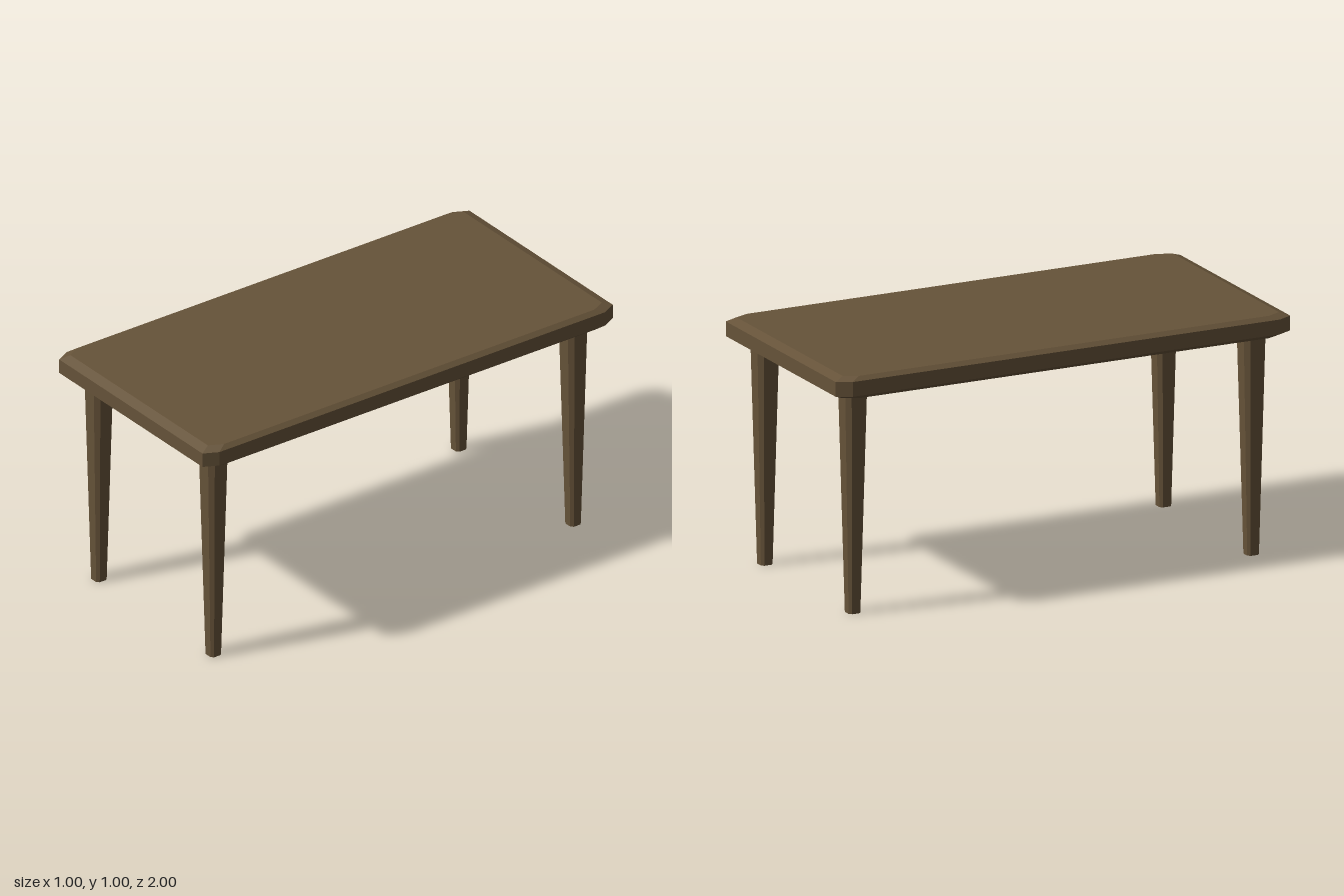
import * as THREE from 'three';

// Rectangle outline with cut corners, as a counter-clockwise octagon
function cutCorners(w, d, cx, cz) {
  return [
    [w, d - cz], [w - cx, d], [cx - w, d], [-w, d - cz],
    [-w, cz - d], [cx - w, -d], [w - cx, -d], [w, cz - d],
  ];
}

// Closed solid made by scaling one outline at several heights [y, scale], bottom to top
function stackOutline(outline, levels) {
  const n = outline.length;
  const pos = [];
  const index = [];
  for (const [y, s] of levels) {
    for (const [x, z] of outline) pos.push(x * s, y, z * s);
  }
  for (let l = 0; l < levels.length - 1; l++) {
    for (let i = 0; i < n; i++) {
      const a = l * n + i, b = l * n + (i + 1) % n;
      index.push(a, a + n, b, b, a + n, b + n);
    }
  }
  const top = (levels.length - 1) * n;
  for (let i = 1; i < n - 1; i++) {
    index.push(0, i, i + 1);
    index.push(top, top + i + 1, top + i);
  }
  const indexed = new THREE.BufferGeometry();
  indexed.setAttribute('position', new THREE.Float32BufferAttribute(pos, 3));
  indexed.setIndex(index);
  const geometry = indexed.toNonIndexed();
  geometry.computeVertexNormals();
  return geometry;
}

export function createModel() {
  const table = new THREE.Group();
  table.name = 'table';
  const wood = new THREE.MeshStandardMaterial({ color: 0x665339, flatShading: true });

  // Top: slab with cut corners and bevelled upper and lower edges
  const tabletop = new THREE.Mesh(
    stackOutline(cutCorners(0.5, 1, 0.03, 0.06), [[0.904, 0.96], [0.92, 1], [0.98, 1], [0.995, 0.96]]),
    wood
  );
  tabletop.name = 'tabletop';
  table.add(tabletop);

  // Legs: square with chamfered edges, tapering towards the floor
  const legGeometry = stackOutline(cutCorners(0.049, 0.048, 0.019, 0.019), [[0, 0.54], [0.905, 1]]);
  for (const [z, end] of [[0.877, 'front'], [-0.877, 'back']]) {
    for (const [x, side] of [[0.375, 'Left'], [-0.375, 'Right']]) {
      const leg = new THREE.Mesh(legGeometry, wood);
      leg.name = `${end}${side}Leg`;
      leg.position.set(x, 0, z);
      table.add(leg);
    }
  }
  return table;
}
